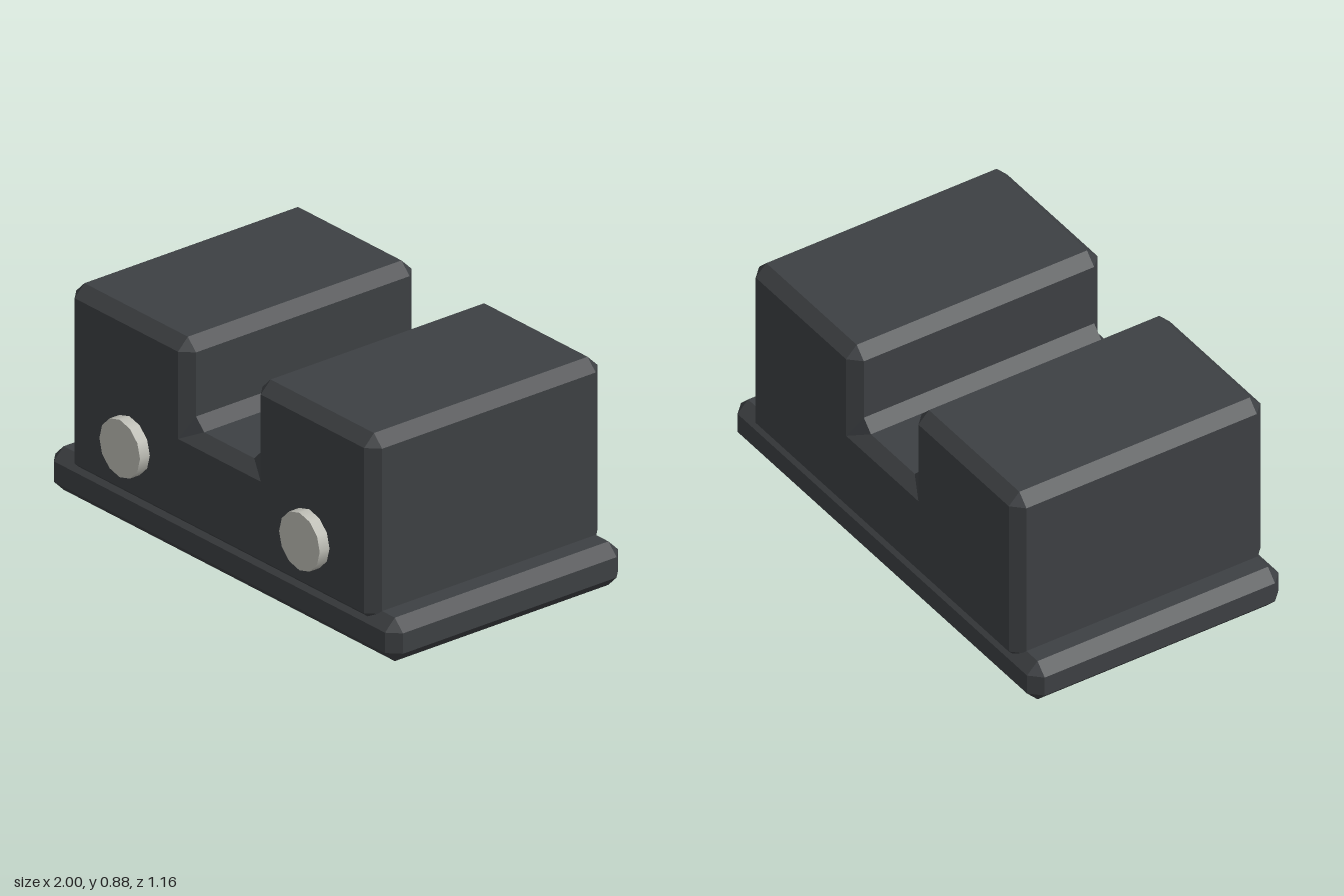
import * as THREE from 'three';

const C = 0.047;              // chamfer size
const BACK = -0.58, FRONT = 0.535;

const darkMat = new THREE.MeshStandardMaterial({ color: 0x3d4043, flatShading: true });
const lightMat = new THREE.MeshStandardMaterial({ color: 0xbdbdb5 });

// Prism along z with every edge chamfered. Corners are the end-face outline,
// counter-clockwise; the middle outline is grown by C with cut corners.
function chamferedPrism(corners) {
  const pts = corners.map(([x, y]) => new THREE.Vector2(x, y));
  const n = pts.length;
  const end = [], mid = [];
  pts.forEach((p, i) => {
    const d1 = p.clone().sub(pts[(i + n - 1) % n]).normalize();
    const d2 = pts[(i + 1) % n].clone().sub(p).normalize();
    const n1 = new THREE.Vector2(d1.y, -d1.x), n2 = new THREE.Vector2(d2.y, -d2.x);
    const inner = d1.cross(d2) < 0 ? 2 * C : 0;   // concave corners are filled
    end.push(p, p);
    mid.push(p.clone().addScaledVector(n1, C).addScaledVector(n2, inner),
             p.clone().addScaledVector(n2, C).addScaledVector(n1, inner));
  });

  const rings = [[end, BACK], [mid, BACK + C], [mid, FRONT - C], [end, FRONT]]
    .map(([ring, z]) => ring.map(p => new THREE.Vector3(p.x, p.y, z)));
  const pos = [];
  const tri = (a, b, c) => {
    if (a.equals(b) || b.equals(c) || a.equals(c)) return;
    for (const v of [a, b, c]) pos.push(v.x, v.y, v.z);
  };

  // Sides and end chamfers
  for (let k = 0; k < 3; k++) {
    for (let i = 0; i < 2 * n; i++) {
      const j = (i + 1) % (2 * n);
      tri(rings[k][i], rings[k][j], rings[k + 1][j]);
      tri(rings[k][i], rings[k + 1][j], rings[k + 1][i]);
    }
  }
  // End faces
  for (const [a, b, c] of THREE.ShapeUtils.triangulateShape(pts, [])) {
    tri(rings[3][2 * a], rings[3][2 * b], rings[3][2 * c]);
    tri(rings[0][2 * a], rings[0][2 * c], rings[0][2 * b]);
  }

  const geo = new THREE.BufferGeometry();
  geo.setAttribute('position', new THREE.Float32BufferAttribute(pos, 3));
  geo.computeVertexNormals();
  return geo;
}

export function createModel() {
  const model = new THREE.Group();
  model.name = 'notchedBlock';
  const add = (name, geo, mat) => {
    const mesh = new THREE.Mesh(geo, mat);
    mesh.name = name;
    model.add(mesh);
    return mesh;
  };

  // Flat base plate
  add('basePlate', chamferedPrism([[-0.953, C], [0.953, C], [0.953, 0.13], [-0.953, 0.13]]), darkMat);

  // Body with a channel running front to back
  add('body', chamferedPrism([
    [-0.833, 0.165], [0.833, 0.165], [0.833, 0.838], [0.238, 0.838],
    [0.238, 0.483], [-0.238, 0.483], [-0.238, 0.838], [-0.833, 0.838],
  ]), darkMat);

  // Round studs on the front face
  for (const side of [1, -1]) {
    const stud = add(side > 0 ? 'leftStud' : 'rightStud',
      new THREE.CylinderGeometry(0.117, 0.117, 0.09, 12), lightMat);
    stud.rotation.x = Math.PI / 2;
    stud.position.set(side * 0.517, 0.356, 0.537);
  }
  return model;
}
